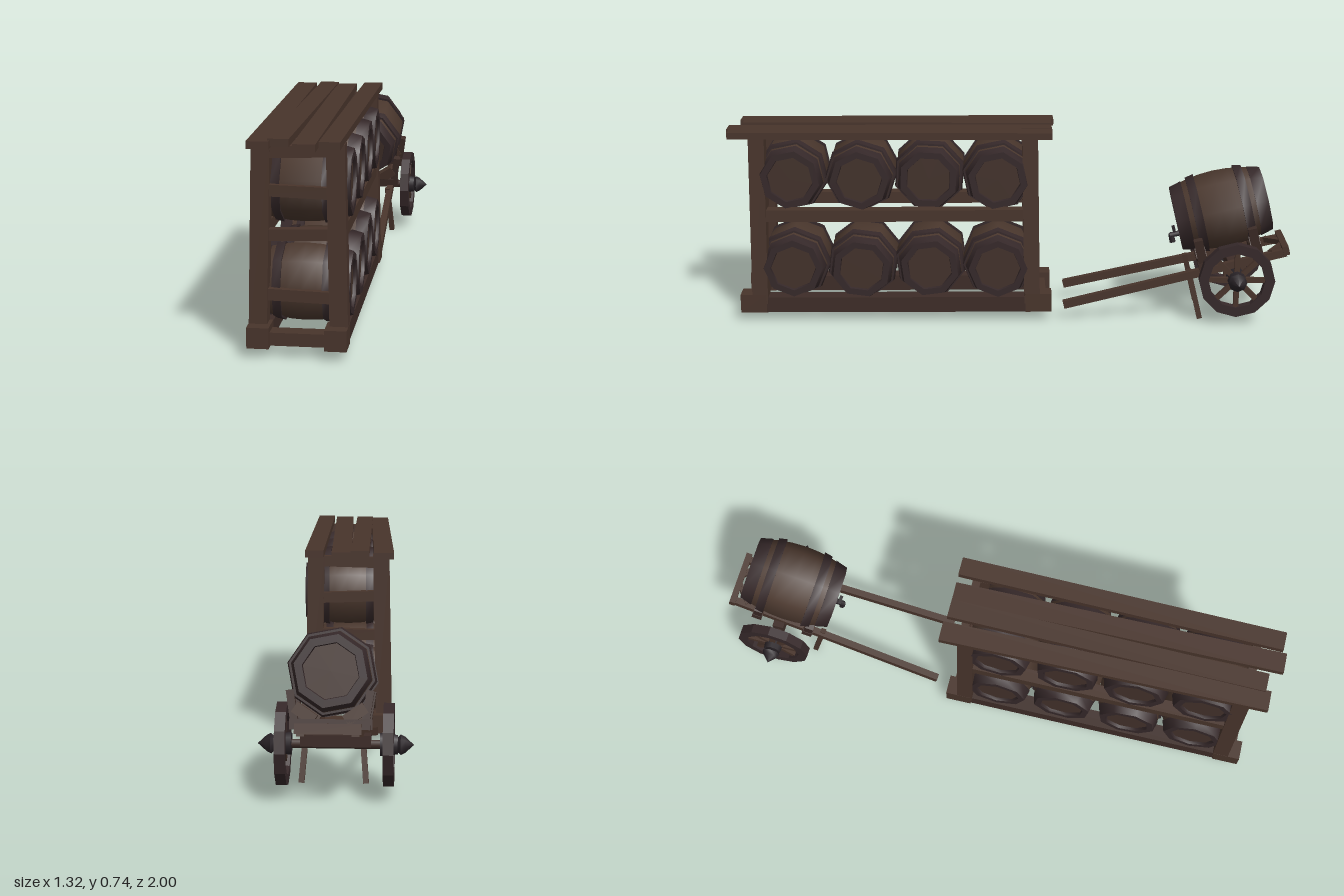
import * as THREE from 'three';
import { toCreasedNormals } from 'three/addons/utils/BufferGeometryUtils.js';

const mat = (name, color) => {
  const m = new THREE.MeshStandardMaterial({ color });
  m.name = name;
  return m;
};
const V = (x, y) => new THREE.Vector2(x, y);

export function createModel() {
  const wood = mat('timber', 0x48342b);
  const darkWood = mat('dark timber', 0x3d2c27);
  const stave = mat('barrel staves', 0x4a372d);
  const headWood = mat('barrel head', 0x42312a);
  const band = mat('hoop', 0x352829);
  const iron = mat('iron', 0x292327);

  const model = new THREE.Group();
  model.name = 'barrelRackAndCart';

  const add = (parent, name, geo, material, pos = [0, 0, 0], rot = [0, 0, 0]) => {
    const m = new THREE.Mesh(geo, material);
    m.name = name;
    m.position.set(...pos);
    m.rotation.set(...rot);
    parent.add(m);
    return m;
  };
  const box = (parent, name, size, pos, material = wood, rot) =>
    add(parent, name, new THREE.BoxGeometry(...size), material, pos, rot);
  const group = (parent, name, pos, rot = [0, 0, 0]) => {
    const g = new THREE.Group();
    g.name = name;
    g.position.set(...pos);
    g.rotation.set(...rot);
    parent.add(g);
    return g;
  };
  const lathe = (pts, sides) => toCreasedNormals(new THREE.LatheGeometry(pts, sides), 0.9);
  // A beam whose ends are two given points
  const beam = (parent, name, a, b, w, h, material = wood) => {
    const p = new THREE.Vector3(...a), q = new THREE.Vector3(...b);
    const m = box(parent, name, [w, h, p.distanceTo(q)], p.clone().add(q).multiplyScalar(0.5).toArray(), material);
    m.quaternion.setFromUnitVectors(new THREE.Vector3(0, 0, 1), q.sub(p).normalize());
    return m;
  };

  // Barrel geometry: axis along y, half length 0.16
  const SIDES = 8;
  const radius = (t) => 0.137 - 0.027 * (t / 0.16) ** 2;
  const bodyPts = [-0.15, -0.1, -0.05, 0, 0.05, 0.1, 0.15].map((t) => V(radius(t), t));
  const bodyGeo = lathe(bodyPts, SIDES);
  const rimGeo = lathe([V(0.1, 0.118), V(0.125, 0.118), V(0.113, 0.162), V(0.088, 0.162), V(0.085, 0.146)], SIDES);
  const hoopGeo = lathe([V(0.12, 0.07), V(0.14, 0.07), V(0.134, 0.1), V(0.115, 0.1)], SIDES);
  const headGeo = new THREE.CylinderGeometry(0.092, 0.092, 0.006, SIDES);

  function barrel(parent, name, pos, rot, scale = 1) {
    const g = group(parent, name, pos, rot);
    g.scale.setScalar(scale);
    add(g, 'staves', bodyGeo, stave);
    for (const flip of [0, Math.PI]) {
      const end = group(g, 'barrelEnd', [0, 0, 0], [flip, 0, 0]);
      add(end, 'endRim', rimGeo, band);
      add(end, 'hoop', hoopGeo, band);
      add(end, 'head', headGeo, headWood, [0, 0.147, 0]);
    }
    return g;
  }

  // ---------- Storage rack ----------
  const rack = group(model, 'rack', [0.21, 0, 0.38], [0, Math.PI / 6, 0]);
  for (const sx of [-1, 1]) {
    box(rack, 'baseBeam', [0.065, 0.06, 1.18], [sx * 0.13, 0.07, 0], darkWood);
    box(rack, 'shelfBeam', [0.05, 0.045, 1.04], [sx * 0.13, 0.425, 0]);
    for (const sz of [-1, 1]) {
      box(rack, 'post', [0.062, 0.65, 0.06], [sx * 0.13, 0.4, sz * 0.52], wood, [-sz * 0.015, 0, sx * 0.02]);
      box(rack, 'cornerBlock', [0.075, 0.072, 0.1], [sx * 0.13, 0.077, sz * 0.55], wood);
    }
  }
  for (const sz of [-1, 1]) {
    box(rack, 'baseCrossBeam', [0.22, 0.045, 0.06], [0, 0.07, sz * 0.55]);
    [0.21, 0.42, 0.565, 0.7].forEach((y, i) =>
      box(rack, 'endSlat', [0.29, 0.04, 0.03], [0, y, sz * 0.53], wood, [0, 0, (i % 2 ? 1 : -1) * 0.03]));
  }
  // Roof planks: x, width, back end, front end, twist
  [
    [-0.128, 0.075, -0.61, 0.61, 0.01],
    [-0.05, 0.07, -0.6, 0.59, -0.012],
    [0.03, 0.075, -0.6, 0.64, 0.006],
    [0.122, 0.07, -0.6, 0.625, -0.012],
  ].forEach(([x, w, a, b, r], i) =>
    box(rack, 'roofPlank', [w, 0.026, b - a], [x, 0.731 + (i % 2) * 0.006, (a + b) / 2], wood, [0, r, 0]));
  // Two rows of four barrels
  [0.215, 0.567].forEach((y, row) => {
    for (let i = 0; i < 4; i++)
      barrel(rack, 'rackBarrel', [0.005, y + (i % 2) * 0.004, (i - 1.5) * 0.262],
        [(i * 1.3 + row * 0.6) % 0.78, 0, Math.PI / 2]);
  });

  // ---------- Hand cart ----------
  const cart = group(model, 'cart', [-0.418, 0, -0.772], [0, 0.49, 0]);
  const rimShape = [V(0.108, -0.018), V(0.145, -0.018), V(0.145, 0.018), V(0.108, 0.018), V(0.108, -0.018)];
  const wheelRim = toCreasedNormals(new THREE.LatheGeometry(rimShape, 12), 0.3);
  for (const sx of [-1, 1]) {
    const wheel = group(cart, 'wheel', [sx * 0.18, 0.185, 0], [0, 0, -sx * Math.PI / 2]);
    add(wheel, 'wheelRim', wheelRim, band);
    for (let k = 0; k < 4; k++)
      box(wheel, 'spoke', [0.23, 0.016, 0.02], [0, 0, 0], wood, [0, k * Math.PI / 4, 0]);
    add(wheel, 'hub', new THREE.CylinderGeometry(0.034, 0.04, 0.06, 8), iron);
    add(wheel, 'hubCap', lathe([V(0.022, 0.025), V(0.036, 0.04), V(0.028, 0.055), V(0, 0.085)], 8), iron);
  }
  const axle = new THREE.CylinderGeometry(0.016, 0.016, 0.36, 8);
  add(cart, 'axle', axle, darkWood, [0, 0.185, 0], [0, 0, Math.PI / 2]);
  box(cart, 'axleBeam', [0.24, 0.04, 0.045], [0, 0.2, 0], darkWood);

  // Sloping frame, handles towards the front
  const frame = group(cart, 'cartFrame', [0.015, 0.227, 0], [0.24, 0, 0]);
  for (const sx of [-1, 1]) {
    beam(frame, 'shaft', [sx * 0.09, 0, -0.2], [sx * 0.125, 0, 0.68], 0.026, 0.03);
    box(frame, 'leg', [0.02, 0.2, 0.02], [sx * 0.105, -0.08, 0.18], wood, [0, 0, sx * 0.08]);
    for (const z of [-0.09, 0.12])
      box(frame, 'cradlePost', [0.026, 0.13, 0.034], [sx * 0.125, 0.075, z], darkWood, [0, 0, -sx * 0.15]);
    beam(frame, 'tailBrace', [sx * 0.09, 0.01, -0.14], [sx * 0.015, 0.01, -0.2], 0.02, 0.02);
  }
  box(frame, 'tailBar', [0.22, 0.035, 0.024], [0, 0.01, -0.2]);
  for (const z of [-0.09, 0.12]) {
    box(frame, 'cradleBar', [0.27, 0.035, 0.04], [0, 0.025, z], darkWood);
    for (const sx of [-1, 1])
      box(frame, 'cradleWedge', [0.08, 0.04, 0.04], [sx * 0.085, 0.06, z], wood, [0, 0, sx * 0.6]);
  }
  barrel(frame, 'cartBarrel', [-0.005, 0.2, 0.005], [Math.PI / 2, 0.2, 0], 1.1);

  // Tap on the front head
  const tap = group(frame, 'tap', [0, 0.14, 0.165]);
  add(tap, 'tapPipe', new THREE.CylinderGeometry(0.011, 0.011, 0.06, 6), iron, [0, 0, 0.025], [Math.PI / 2, 0, 0]);
  add(tap, 'tapSpout', new THREE.CylinderGeometry(0.01, 0.012, 0.035, 6), iron, [0, -0.012, 0.05]);
  box(tap, 'tapHandle', [0.035, 0.012, 0.012], [0, 0.025, 0.035], iron);
  box(tap, 'tapStem', [0.01, 0.03, 0.01], [0, 0.01, 0.035], iron);
  return model;
}
